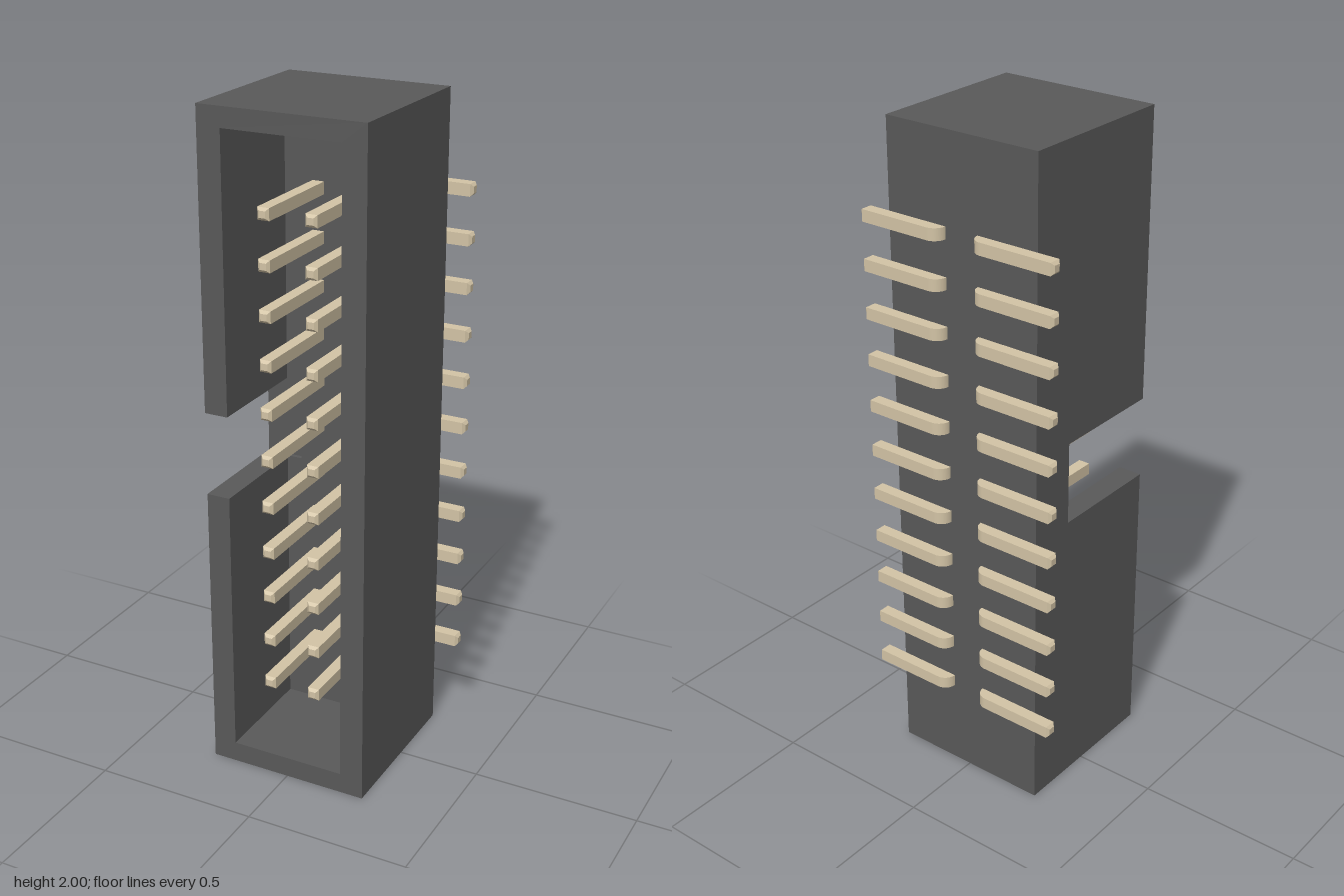
import * as THREE from 'three';
import { mergeGeometries } from 'three/addons/utils/BufferGeometryUtils.js';

const BACK = -0.236, FRONT = 0.27, FLOOR = -0.075, NOTCH = -0.088;
const ROWS = 11, PITCH = 0.143, PIN = 0.036, TIP = 0.008;

// Flat outline extruded from z0 to z1
function slab(points, z0, z1) {
  const shape = new THREE.Shape(points.map(([x, y]) => new THREE.Vector2(x, y)));
  const geo = new THREE.ExtrudeGeometry(shape, { depth: z1 - z0, bevelEnabled: false });
  return geo.translate(0, 0, z0);
}

// Housing: base plate, notched floor, then a C-shaped wall open at the key notch
function createHousing(material) {
  const w = 0.25, cx = 0.178, c0 = 0.063, c1 = 1.942, n0 = 0.88, n1 = 1.13, nx = -0.132;
  const base = slab([[-w, 0], [w, 0], [w, 2], [-w, 2]], BACK, NOTCH);
  const floor = slab([[-w, 0], [w, 0], [w, 2], [-w, 2], [-w, n1], [nx, n1], [nx, n0], [-w, n0]], NOTCH, FLOOR);
  const wall = slab([
    [-w, 0], [w, 0], [w, 2], [-w, 2], [-w, n1], [-cx, n1],
    [-cx, c1], [cx, c1], [cx, c0], [-cx, c0], [-cx, n0], [-w, n0],
  ], FLOOR, FRONT);
  const mesh = new THREE.Mesh(mergeGeometries([base, floor, wall]), material);
  mesh.name = 'housing';
  return mesh;
}

// Tapered square tip pointing along +y, base at the origin
function tipGeometry() {
  const r = PIN / Math.SQRT2;
  return new THREE.CylinderGeometry(r * 0.55, r, TIP, 4, 1)
    .rotateY(Math.PI / 4).translate(0, TIP / 2, 0).toNonIndexed();
}

// Bent pin: post along +z, rounded elbow, leg along +x
function pinGeometry() {
  const x0 = 0.054, x1 = x0 + PIN, z0 = -0.272, z1 = z0 + PIN;
  const post = 0.235, end = 0.325 - TIP;
  // Profile drawn in (x, -z), then laid flat so its depth runs along y
  const s = new THREE.Shape();
  s.moveTo(x0, -post);
  s.lineTo(x1, -post);
  s.lineTo(x1, -z1);
  s.lineTo(end, -z1);
  s.lineTo(end, -z0);
  s.lineTo(x1, -z0);
  s.absarc(x1, -z1, PIN, Math.PI / 2, Math.PI, false);
  s.closePath();
  const bar = new THREE.ExtrudeGeometry(s, { depth: PIN, bevelEnabled: false, curveSegments: 8 })
    .rotateX(-Math.PI / 2).translate(0, -PIN / 2, 0);
  const postTip = tipGeometry().rotateX(Math.PI / 2).translate((x0 + x1) / 2, 0, post);
  const legTip = tipGeometry().rotateZ(-Math.PI / 2).translate(end, 0, (z0 + z1) / 2);
  const geo = mergeGeometries([bar, postTip, legTip]);
  geo.computeVertexNormals();
  return geo;
}

export function createModel() {
  const model = new THREE.Group();
  model.name = 'boxHeader';
  const plastic = new THREE.MeshStandardMaterial({ color: 0x595959 });
  const metal = new THREE.MeshStandardMaterial({ color: 0xd2c3a5 });
  model.add(createHousing(plastic));

  // Two mirrored columns of pins
  const geo = pinGeometry();
  for (const side of [1, -1]) {
    const column = new THREE.Group();
    column.name = side > 0 ? 'leftPins' : 'rightPins';
    for (let i = 0; i < ROWS; i++) {
      const pin = new THREE.Mesh(geo, metal);
      pin.name = 'pin';
      pin.position.y = 1.003 + (i - (ROWS - 1) / 2) * PITCH;
      // A half turn about z mirrors the symmetric pin
      if (side < 0) pin.rotation.z = Math.PI;
      column.add(pin);
    }
    model.add(column);
  }
  return model;
}
